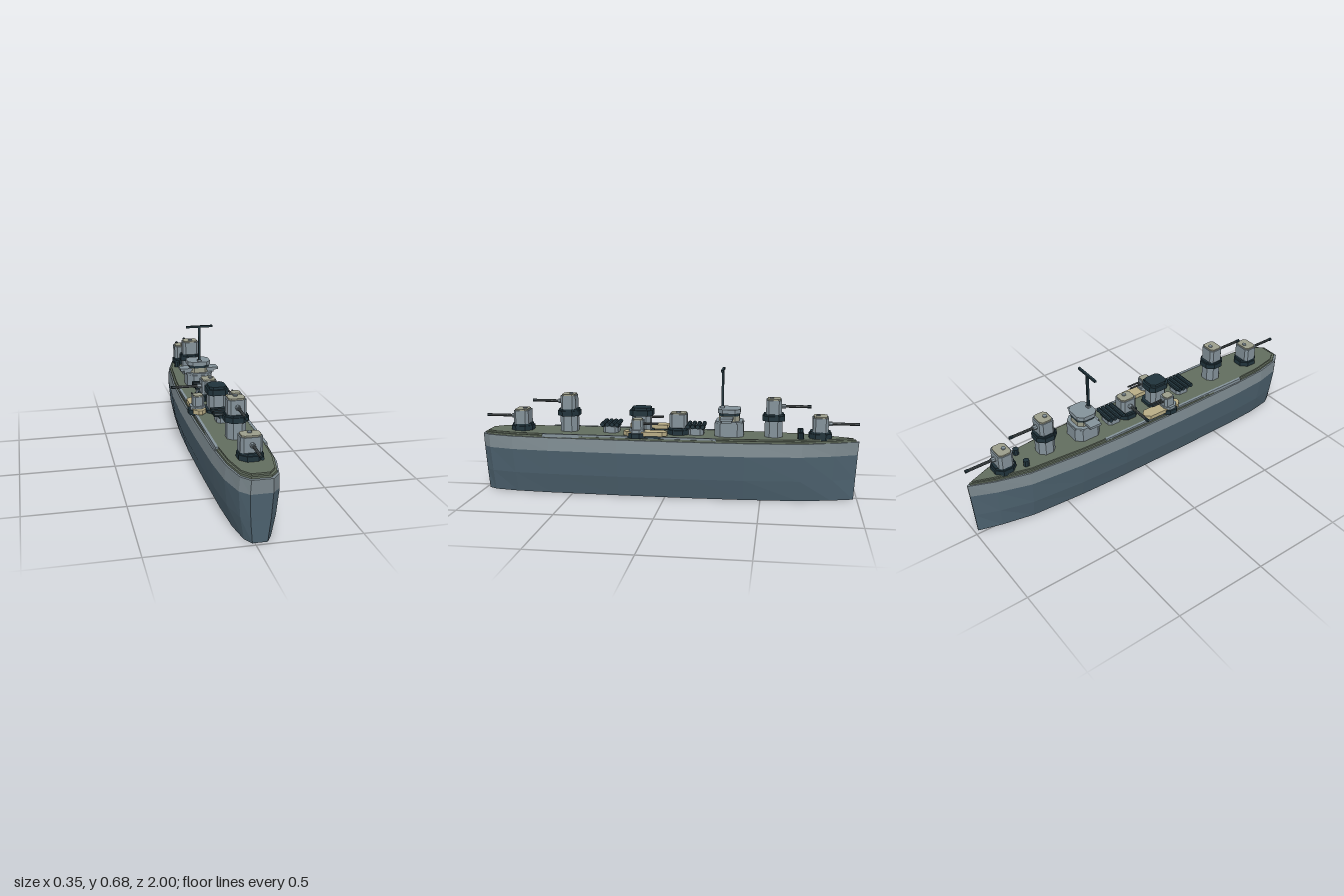
import * as THREE from 'three';

const mat = (name, color) => Object.assign(new THREE.MeshStandardMaterial({ color }), { name });
const M = {
  lower: mat('lower hull slate', 0x4d626f),
  upper: mat('upper hull grey', 0x7c898f),
  deck: mat('deck olive', 0x626d5e),
  grey: mat('structure grey', 0x84929a),
  dark: mat('dark fittings', 0x20333b),
  tan: mat('platform tan', 0xb9ad86),
  roof: mat('roof stone', 0x9b9d8b),
  gun: mat('gun metal', 0x464e50),
};

// Adds a faceted mesh to a parent
function add(parent, name, geo, material, x = 0, y = 0, z = 0) {
  const g = geo.index ? geo.toNonIndexed() : geo;
  g.computeVertexNormals();
  const m = new THREE.Mesh(g, material);
  m.name = name;
  m.position.set(x, y, z);
  parent.add(m);
  return m;
}

// Upright prism over a plan of [x, z] points
function prism(plan, h) {
  const s = new THREE.Shape(plan.map(([x, z]) => new THREE.Vector2(x, -z)));
  return new THREE.ExtrudeGeometry(s, { depth: h, bevelEnabled: false }).rotateX(-Math.PI / 2);
}

// Box with chamfered upright corners, standing on y = 0
function block(w, h, d, c) {
  const a = w / 2, b = d / 2;
  return prism([[a, c - b], [a, b - c], [a - c, b], [c - a, b], [-a, b - c], [-a, c - b], [c - a, -b], [a - c, -b]], h);
}

const box = (w, h, d) => new THREE.BoxGeometry(w, h, d);
const rodZ = (r, l, n = 8) => new THREE.CylinderGeometry(r, r, l, n).rotateX(Math.PI / 2);

// Hull plan: half width and z from bow to stern
const HALF = [[0.004, -1], [0.055, -0.88], [0.107, -0.71], [0.135, -0.42], [0.145, -0.15], [0.145, 0.25],
  [0.137, 0.62], [0.123, 0.82], [0.092, 0.955], [0.052, 1]];
const plan = (sx, sz) => [
  ...HALF.map(([x, z]) => [x * sx, z * sz]),
  ...HALF.slice().reverse().map(([x, z]) => [-x * sx, z * sz]),
];

// Skin between horizontal rings given as [y, width scale, length scale]
function loft(rings) {
  const pos = [];
  for (let r = 0; r + 1 < rings.length; r++) {
    const [ya, ax, az] = rings[r], [yb, bx, bz] = rings[r + 1];
    const A = plan(ax, az), B = plan(bx, bz), n = A.length;
    for (let i = 0; i < n; i++) {
      const j = (i + 1) % n;
      const a = [A[i][0], ya, A[i][1]], b = [A[j][0], ya, A[j][1]];
      const c = [B[j][0], yb, B[j][1]], d = [B[i][0], yb, B[i][1]];
      pos.push(...a, ...d, ...c, ...a, ...c, ...b);
    }
  }
  return new THREE.BufferGeometry().setAttribute('position', new THREE.Float32BufferAttribute(pos, 3));
}

function hull(ship) {
  add(ship, 'lowerHull', loft([[0, 0.67, 0.981], [0.11, 0.88, 0.987], [0.24, 1, 0.995]]), M.lower);
  const keel = new THREE.Shape(plan(0.67, 0.981).map(([x, z]) => new THREE.Vector2(x, z)));
  add(ship, 'hullBottom', new THREE.ShapeGeometry(keel).rotateX(Math.PI / 2), M.lower);
  add(ship, 'upperHull', loft([[0.24, 1, 0.995], [0.309, 0.95, 1], [0.309, 0.85, 0.97]]), M.upper);
  add(ship, 'deckEdge', prism(plan(0.89, 0.985), 0.014), M.deck, 0, 0.305);
  add(ship, 'deck', prism(plan(0.82, 0.97), 0.016), M.deck, 0, 0.311);
  for (const s of [-1, 1]) {
    add(ship, 'deckRail', box(0.014, 0.018, 0.92), M.grey, s * 0.118, 0.32, 0.19);
    add(ship, 'capstan', new THREE.CylinderGeometry(0.016, 0.016, 0.036, 8), M.dark, s * 0.053, 0.342, -0.7);
  }
}

// Gun house with one barrel along its own +z, base of the house at y
function gunTurret(ship, name, z, y, angle, w, reach, pedestal) {
  const g = new THREE.Group();
  g.name = name;
  g.position.set(0, y, z);
  g.rotation.y = angle;
  ship.add(g);
  if (pedestal) add(g, 'pedestal', block(0.092, y - 0.32, 0.092, 0.025), M.grey, 0, 0.32 - y);
  const rim = pedestal ? 0.036 : y - 0.32;
  add(g, 'collar', block(0.116, rim * 0.75, 0.116, 0.032), M.dark, 0, -rim);
  add(g, 'collarTop', block(0.104, rim * 0.35, 0.104, 0.028), M.dark, 0, -rim * 0.34);
  add(g, 'gunHouse', block(w, 0.072, 0.08, 0.014), M.grey);
  add(g, 'roof', block(w - 0.012, 0.007, 0.068, 0.012), M.roof, 0, 0.072);
  add(g, 'hatch', block(0.022, 0.005, 0.02, 0.005), M.grey, 0, 0.079, -0.012);
  add(g, 'mantlet', rodZ(0.0125, 0.03), M.grey, 0, 0.038, 0.045);
  add(g, 'barrel', rodZ(0.0075, reach - 0.04), M.gun, 0, 0.038, (reach + 0.04) / 2);
  add(g, 'muzzle', rodZ(0.0085, 0.02), M.dark, 0, 0.038, reach - 0.009);
}

// Row of four tubes lying across the ship
function tubeBank(ship, z) {
  const g = new THREE.Group();
  g.name = 'tubeBank';
  g.position.z = z;
  ship.add(g);
  add(g, 'tubeBase', block(0.085, 0.035, 0.08, 0.015), M.grey, 0, 0.325);
  add(g, 'tubeCradle', box(0.07, 0.012, 0.09), M.dark, 0, 0.361);
  for (let i = 0; i < 4; i++) {
    const tube = new THREE.CylinderGeometry(0.0118, 0.0118, 0.12, 8).rotateZ(Math.PI / 2);
    add(g, 'tube', tube, M.dark, 0, 0.374, (i - 1.5) * 0.026);
  }
}

// Twin light gun on a platform at the deck edge
function sideMount(ship, s) {
  const g = new THREE.Group();
  g.name = s > 0 ? 'leftSideMount' : 'rightSideMount';
  g.position.x = s * 0.1;
  ship.add(g);
  add(g, 'platform', block(0.066, 0.022, 0.23, 0.024), M.tan, 0, 0.333, 0.1);
  add(g, 'platformFoot', block(0.05, 0.016, 0.2, 0.018), M.dark, 0, 0.32, 0.1);
  add(g, 'mountBase', block(0.092, 0.026, 0.092, 0.026), M.dark, s * 0.005, 0.322, 0.145);
  add(g, 'mountRing', block(0.078, 0.018, 0.08, 0.022), M.grey, s * 0.003, 0.347, 0.145);
  add(g, 'gunHouse', block(0.058, 0.05, 0.062, 0.011), M.grey, 0, 0.364, 0.14);
  add(g, 'roof', block(0.048, 0.006, 0.05, 0.009), M.roof, 0, 0.414, 0.14);
  for (const k of [-1, 1]) add(g, 'barrel', rodZ(0.005, 0.08), M.gun, k * 0.01, 0.394, 0.075);
}

function bridge(ship) {
  const g = new THREE.Group();
  g.name = 'bridge';
  g.position.z = -0.33;
  ship.add(g);
  add(g, 'lowerHouse', block(0.138, 0.072, 0.15, 0.03), M.grey, 0, 0.325);
  add(g, 'wings', box(0.215, 0.013, 0.065), M.grey, 0, 0.425, 0.01);
  add(g, 'wingSupport', box(0.17, 0.016, 0.05), M.grey, 0, 0.411, 0.01);
  add(g, 'walkway', block(0.145, 0.01, 0.14, 0.03), M.grey, 0, 0.397);
  add(g, 'wheelhouse', block(0.105, 0.045, 0.105, 0.022), M.roof, 0, 0.405);
  add(g, 'windowBand', block(0.108, 0.014, 0.108, 0.023), M.dark, 0, 0.434);
  add(g, 'bridgeRoof', block(0.128, 0.022, 0.115, 0.025), M.grey, 0, 0.448);
  add(g, 'mast', box(0.012, 0.205, 0.012), M.dark, 0, 0.57, 0.037);
  add(g, 'mastFoot', box(0.02, 0.012, 0.02), M.grey, 0, 0.474, 0.037);
  add(g, 'crossArm', box(0.148, 0.011, 0.012), M.dark, 0, 0.67, 0.037);
}

function funnel(ship) {
  add(ship, 'funnelBase', block(0.115, 0.02, 0.13, 0.025), M.dark, 0, 0.322, 0.135);
  add(ship, 'funnelBody', block(0.09, 0.1, 0.098, 0.02), M.grey, 0, 0.335, 0.135);
  add(ship, 'funnelCap', block(0.108, 0.03, 0.122, 0.022), M.dark, 0, 0.422, 0.135);
  add(ship, 'funnelRim', block(0.09, 0.013, 0.1, 0.018), M.dark, 0, 0.452, 0.135);
}

export function createModel() {
  const model = new THREE.Group();
  model.name = 'warship';
  const ship = new THREE.Group();
  ship.name = 'ship';
  ship.position.x = 0.0235;
  model.add(ship);

  hull(ship);
  // Main guns: stern pair aims aft, bow pair aims ahead, the middle one aims to the side
  gunTurret(ship, 'sternLowerTurret', 0.79, 0.362, 0, 0.104, 0.2, false);
  gunTurret(ship, 'sternUpperTurret', 0.53, 0.448, 0, 0.092, 0.2, true);
  gunTurret(ship, 'bowUpperTurret', -0.56, 0.448, Math.PI, 0.092, 0.19, true);
  gunTurret(ship, 'bowLowerTurret', -0.8, 0.362, Math.PI, 0.104, 0.198, false);
  gunTurret(ship, 'midTurret', -0.062, 0.362, -Math.PI / 2, 0.092, 0.2, false);
  bridge(ship);
  funnel(ship);
  for (const z of [-0.155, 0.3]) tubeBank(ship, z);
  for (const s of [-1, 1]) sideMount(ship, s);
  return model;
}
